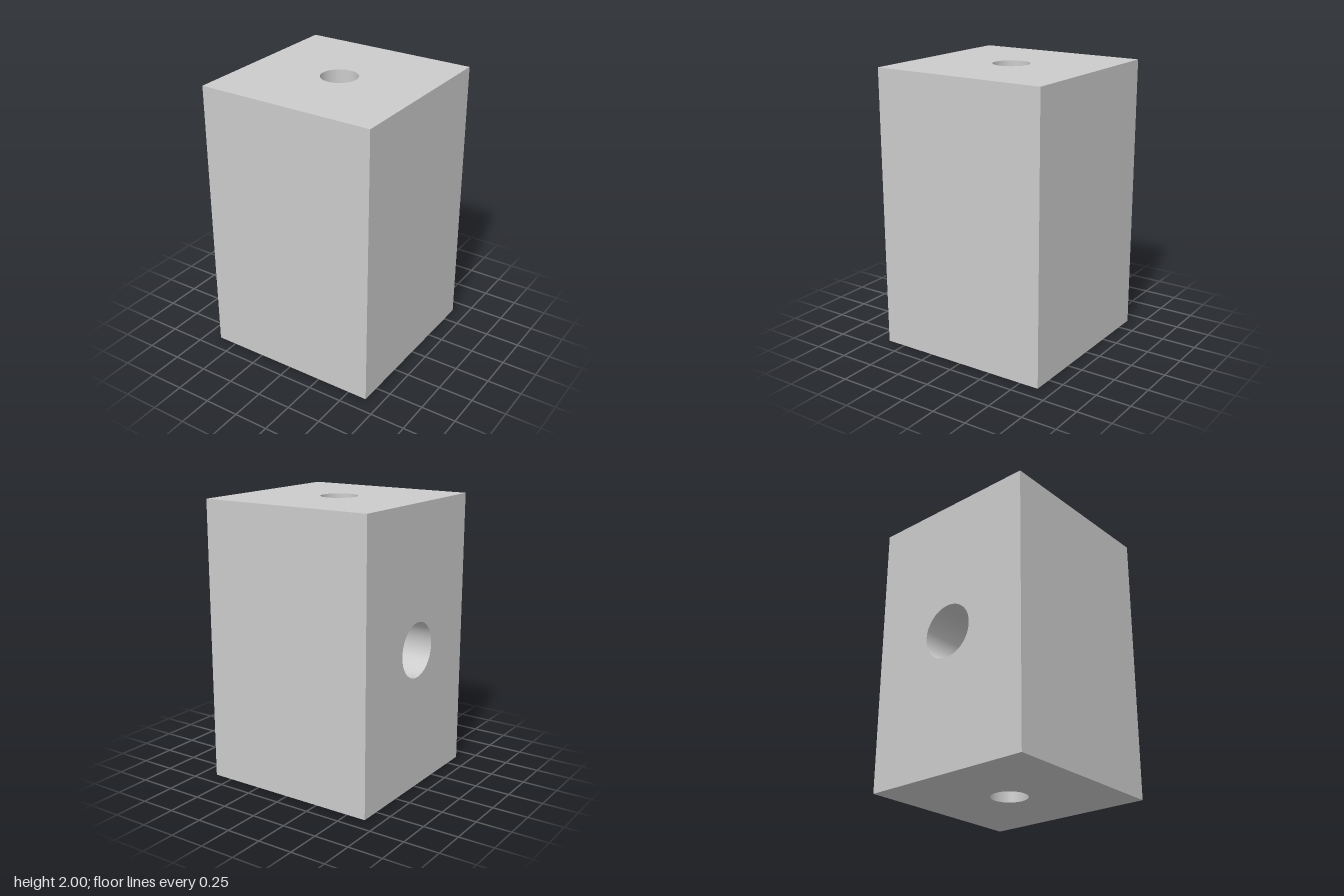
import * as THREE from 'three';
import { mergeGeometries } from 'three/addons/utils/BufferGeometryUtils.js';

const W = 1.28, H = 2, MID = H / 2;   // block width/depth, height, side bore height
const R = 0.13, S = 0.195;            // radii of the vertical and side bores
const SEG = 96;

// Flat rectangle facing +z, optionally with a round hole in its centre
function plate(w, h, hole = 0) {
  const s = new THREE.Shape();
  s.moveTo(-w / 2, -h / 2).lineTo(w / 2, -h / 2).lineTo(w / 2, h / 2).lineTo(-w / 2, h / 2);
  if (hole) s.holes.push(new THREE.Path().absarc(0, 0, hole, 0, Math.PI * 2, true));
  return new THREE.ShapeGeometry(s, SEG);
}

// Smooth ruled surface between two curves a(t) and b(t), with normals n(t)
function ruled(from, to, a, b, n, segments = SEG) {
  const pos = [], nor = [], idx = [];
  for (let i = 0; i <= segments; i++) {
    const t = from + (to - from) * i / segments, k = 2 * i;
    pos.push(...a(t), ...b(t));
    nor.push(...n(t), ...n(t));
    if (i < segments) idx.push(k, k + 1, k + 2, k + 1, k + 3, k + 2);
  }
  const g = new THREE.BufferGeometry();
  g.setAttribute('position', new THREE.Float32BufferAttribute(pos, 3));
  g.setAttribute('normal', new THREE.Float32BufferAttribute(nor, 3));
  g.setIndex(idx);
  return g;
}

export function createModel() {
  const group = new THREE.Group();
  const material = new THREE.MeshStandardMaterial({ color: 0xcccccc });
  const add = (name, geometries) => {
    const mesh = new THREE.Mesh(mergeGeometries(geometries), material);
    mesh.name = name;
    group.add(mesh);
  };
  const { cos, sin, sqrt, PI } = Math;

  // Outer faces of the block
  add('block', [
    plate(W, H).translate(0, MID, W / 2),
    plate(W, H).rotateY(PI).translate(0, MID, -W / 2),
    plate(W, H).rotateY(PI / 2).translate(W / 2, MID, 0),
    plate(W, H, S).rotateY(-PI / 2).translate(-W / 2, MID, 0),
    plate(W, W, R).rotateX(-PI / 2).translate(0, H, 0),
    plate(W, W, R).rotateX(PI / 2),
  ]);

  // Vertical through bore: full height on +x, opened by the side bore on -x
  const ring = y => t => [R * cos(t), y(t), R * sin(t)];
  const inward = t => [-cos(t), 0, -sin(t)];
  const gap = t => sqrt(S * S - (R * sin(t)) ** 2);
  const bottom = ring(() => 0), top = ring(() => H);
  add('verticalBore', [
    ruled(PI / 2, -PI / 2, bottom, top, inward),
    ruled(PI * 1.5, PI / 2, bottom, ring(t => MID - gap(t)), inward),
    ruled(PI * 1.5, PI / 2, ring(t => MID + gap(t)), top, inward),
  ]);

  // Side bore running in to the centre, notched where it meets the vertical bore
  const rim = x => t => [x(t), MID + S * cos(t), S * sin(t)];
  const meet = t => -sqrt(Math.max(0, R * R - (S * sin(t)) ** 2));
  add('sideBore', [
    ruled(0, PI * 2, rim(() => -W / 2), rim(meet), t => [0, -cos(t), -sin(t)], SEG * 2),
  ]);

  // Flat end of the side bore, on either side of the vertical bore
  const half = Math.acos(R / S);
  add('sideBoreEnd', [0, PI].map(c => {
    const s = new THREE.Shape().absarc(0, 0, S, c - half, c + half, false);
    return new THREE.ShapeGeometry(s, SEG / 2).rotateY(-PI / 2).translate(0, MID, 0);
  }));

  return group;
}
